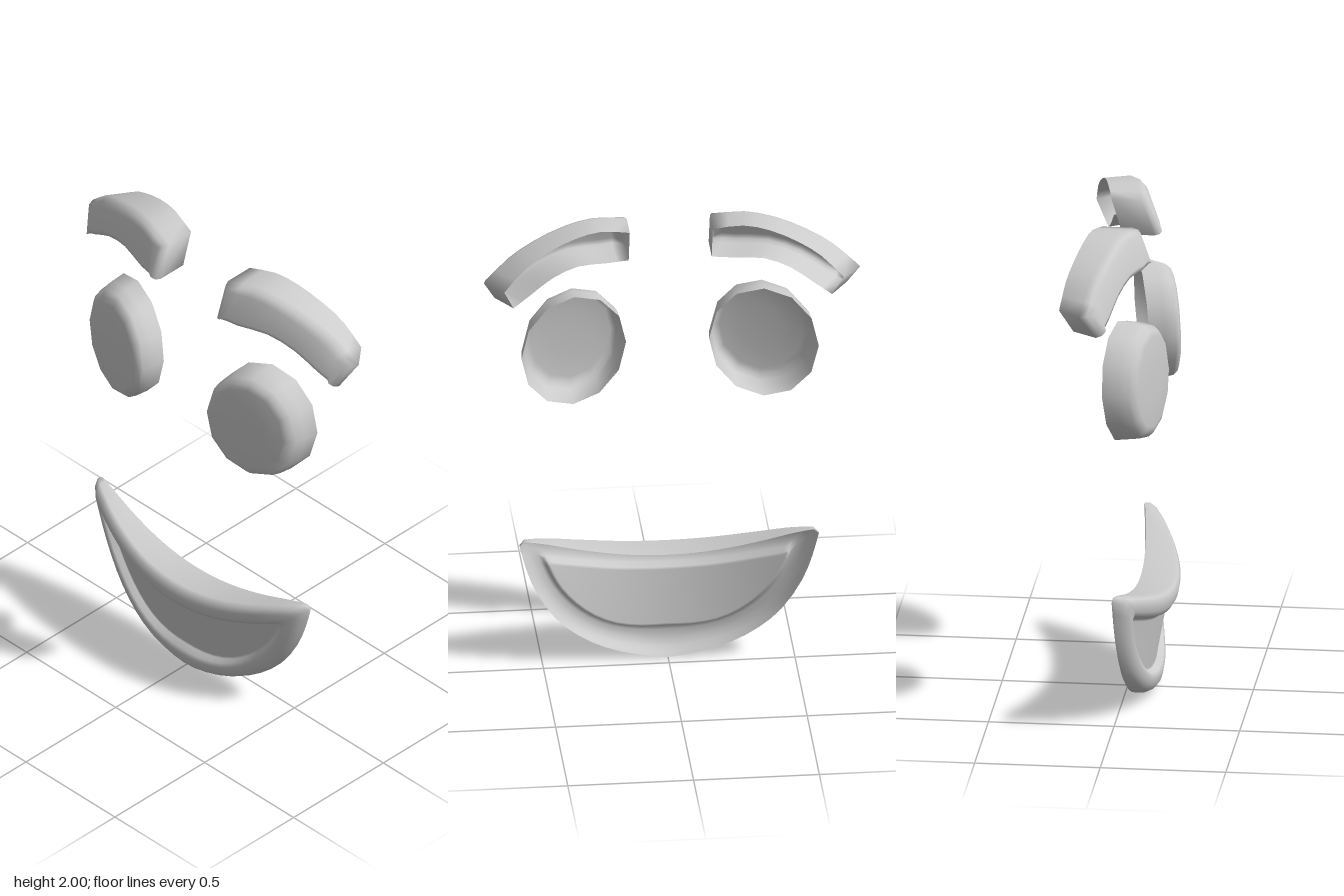
import * as THREE from 'three';
import { mergeVertices } from 'three/addons/utils/BufferGeometryUtils.js';

const material = new THREE.MeshStandardMaterial({ color: 0xcccccc, side: THREE.DoubleSide });

// Smooth spline through [x, y] points, sampled at n + 1 stations
function spline(points, n) {
  const curve = new THREE.CatmullRomCurve3(points.map(([x, y]) => new THREE.Vector3(x, y, 0)));
  return curve.getPoints(n).map((p) => [p.x, p.y]);
}

// Counter-clockwise outline: bottom edge outwards, top edge back
const outline = (bottom, top, n) => [...spline(bottom, n), ...spline(top, n).reverse()];

// Extends a right-half edge (starting at x = 0) to both sides
const bothSides = (half) => [...half.slice(1).reverse().map(([x, y]) => [-x, y]), ...half];

// Moves an outline inwards by d
function inset(loop, d) {
  const L = loop.length;
  return loop.map(([x, y], i) => {
    const a = loop[(i + L - 1) % L], b = loop[(i + 1) % L];
    const tx = b[0] - a[0], ty = b[1] - a[1], len = Math.hypot(tx, ty);
    return [x - (ty / len) * d, y + (tx / len) * d];
  });
}

const blend = (a, b, t) => a.map(([x, y], i) => [x + (b[i][0] - x) * t, y + (b[i][1] - y) * t]);
const lift = (loop, depth) => loop.map(([x, y]) => [x, y, depth(x, y)]);

// Open-backed shell: joins rings from back to front, then closes the last ring
function shell(rings) {
  const L = rings[0].length, index = [];
  const quad = (a, b, c, d) => index.push(a, b, c, a, c, d);
  for (let r = 0; r < rings.length - 1; r++) {
    for (let i = 0; i < L; i++) {
      const j = (i + 1) % L;
      quad(r * L + i, r * L + j, (r + 1) * L + j, (r + 1) * L + i);
    }
  }
  const o = (rings.length - 1) * L;
  for (let i = 0; i < L / 2 - 1; i++) quad(o + i, o + i + 1, o + L - 2 - i, o + L - 1 - i);
  const geometry = new THREE.BufferGeometry();
  geometry.setAttribute('position', new THREE.Float32BufferAttribute(rings.flat(2), 3));
  geometry.setIndex(index);
  geometry.computeVertexNormals();
  return geometry;
}

// Mirrored copy across x = 0 with the winding turned round
function mirrored(geometry) {
  const copy = geometry.clone().scale(-1, 1, 1);
  const a = copy.index.array;
  for (let i = 0; i < a.length; i += 3) [a[i], a[i + 1]] = [a[i + 1], a[i]];
  copy.computeVertexNormals();
  return copy;
}

// Twelve-sided oval dish with a rounded front, tilted round the face
function eyeGeometry() {
  const profile = [[1, 0], [0.975, 0.45], [0.93, 0.76], [0.86, 0.9], [0.76, 0.965], [0.4, 1], [0, 1.01]];
  const dish = new THREE.LatheGeometry(profile.map(([r, h]) => new THREE.Vector2(r, h)), 12);
  dish.deleteAttribute('uv');
  dish.deleteAttribute('normal');
  const p = dish.attributes.position;
  for (let i = 0; i < p.count; i++) {
    const dx = p.getX(i) * 0.213, dy = -p.getZ(i) * 0.247, h = p.getY(i);
    const back = 0.015 - 0.25 * dx - 0.06 * dy;
    const front = 0.15 - 0.26 * dx - 0.03 * dy;
    p.setXYZ(i, 0.378 + dx, 1.408 + dy, back + (front - back) * h);
  }
  const geometry = mergeVertices(dish, 1e-4);
  geometry.computeVertexNormals();
  return geometry;
}

// Arched bar with rounded front edges and an open back
function browGeometry() {
  const bottom = [[0.165, 1.83], [0.27, 1.828], [0.4, 1.835], [0.52, 1.8], [0.62, 1.74], [0.7, 1.695]];
  const top = [[0.165, 1.975], [0.3, 2.0], [0.42, 1.985], [0.55, 1.94], [0.65, 1.885], [0.748, 1.795]];
  const edge = outline(bottom, top, 10);
  const front = (x, y) => 0.109 - 0.4 * x * x - 0.35 * (y - 1.9);
  const back = (x, y) => -0.052 - 0.32 * x * x - 0.3 * (y - 1.9);
  const rim = lift(edge, back).map(([x, y, z]) => [x - 0.125 * (x - 0.165), y, z]);
  return shell([
    rim,
    lift(edge, (x, y) => front(x, y) - 0.035),
    lift(inset(edge, 0.01), (x, y) => front(x, y) - 0.012),
    lift(inset(edge, 0.03), front),
  ]);
}

// Crescent frame with a rounded lip and a recessed panel
function mouthGeometry() {
  const n = 28;
  const outer = outline(
    bothSides([[0, 0], [0.12, 0.018], [0.25, 0.06], [0.36, 0.125], [0.45, 0.21], [0.53, 0.34], [0.57, 0.45], [0.595, 0.55]]),
    bothSides([[0, 0.457], [0.1, 0.461], [0.2, 0.473], [0.3, 0.493], [0.39, 0.516], [0.47, 0.54], [0.53, 0.556], [0.575, 0.566]]), n);
  const inner = outline(
    bothSides([[0, 0.11], [0.1, 0.112], [0.2, 0.133], [0.29, 0.18], [0.365, 0.245], [0.425, 0.32], [0.46, 0.385], [0.482, 0.437]]),
    bothSides([[0, 0.348], [0.085, 0.351], [0.17, 0.36], [0.25, 0.375], [0.325, 0.395], [0.39, 0.415], [0.44, 0.432], [0.475, 0.446]]), n);
  const front = (x, y) => 0.128 + 0.18 * y - 0.51 * x * x;
  const below = (d) => (x, y) => front(x, y) - d;
  return shell([
    lift(outer, (x) => 0.05 * (1 - (x / 0.6) ** 2)),
    lift(outer, below(0.035)),
    lift(blend(outer, inner, 0.12), below(0.014)),
    lift(blend(outer, inner, 0.35), below(0)),
    lift(blend(outer, inner, 0.7), below(0)),
    lift(blend(outer, inner, 0.9), below(0.01)),
    lift(inner, below(0.036)),
    lift(blend(inner, inset(inner, 0.02), 0.5), below(0.038)),
  ]);
}

export function createModel() {
  const group = new THREE.Group();
  const add = (name, geometry) => {
    const mesh = new THREE.Mesh(geometry, material);
    mesh.name = name;
    group.add(mesh);
  };
  const eye = eyeGeometry(), brow = browGeometry();
  add('leftEye', eye);
  add('rightEye', mirrored(eye));
  add('leftEyebrow', brow);
  add('rightEyebrow', mirrored(brow));
  add('mouth', mouthGeometry());
  return group;
}
